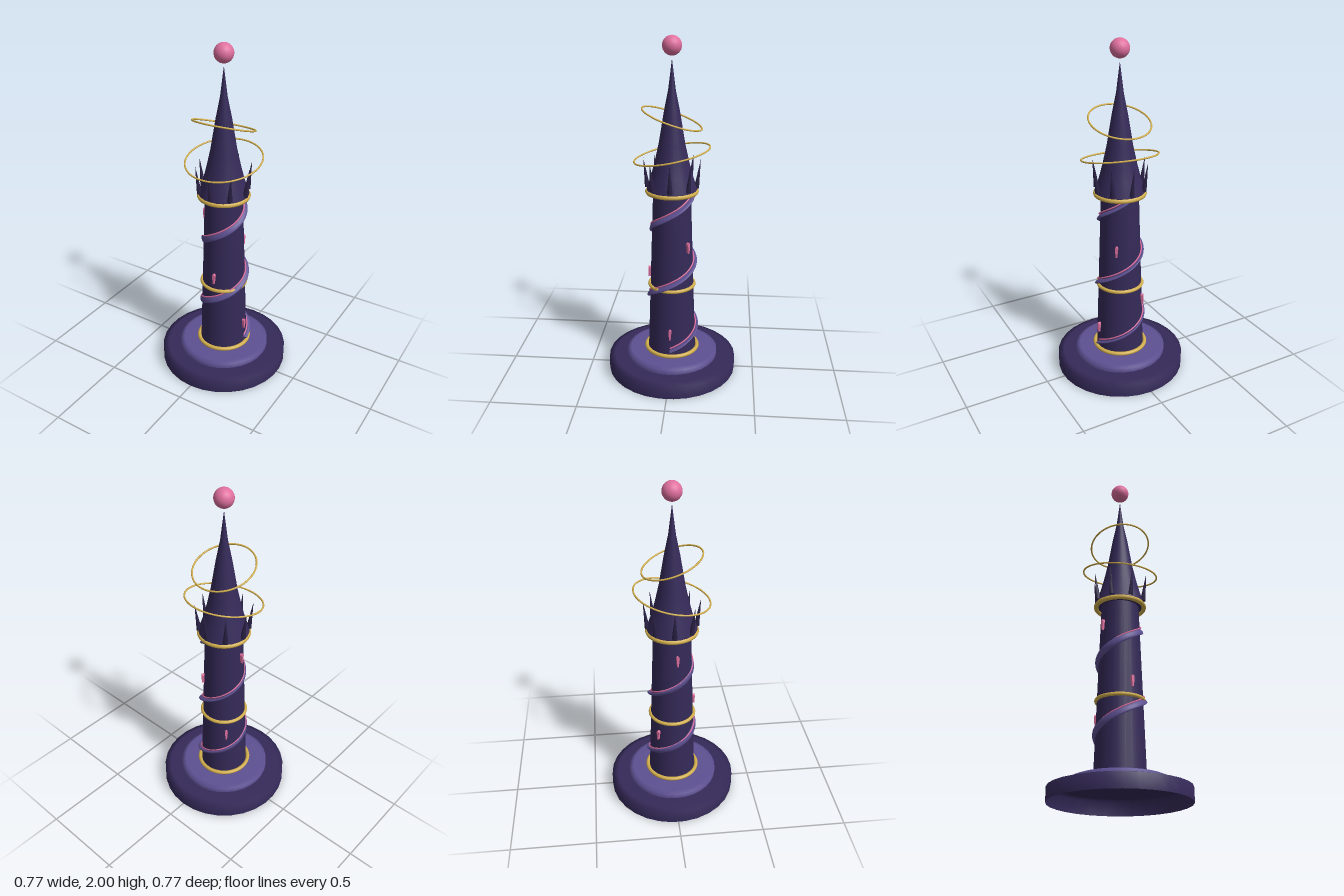
import * as THREE from 'three';

const mat = (name, color, side = THREE.FrontSide) => {
  const m = new THREE.MeshStandardMaterial({ color, side });
  m.name = name;
  return m;
};

export function createModel() {
  const dark = mat('dark purple stone', 0x352a59, THREE.DoubleSide);
  const light = mat('light purple stone', 0x5d5092);
  const spikeMat = mat('deep purple spikes', 0x2a2145);
  const gold = mat('gold', 0xd4b04e);
  const pink = mat('pink glow', 0xe0709f);

  const tower = new THREE.Group();
  tower.name = 'tower';

  const add = (name, geometry, material, parent = tower) => {
    const mesh = new THREE.Mesh(geometry, material);
    mesh.name = name;
    parent.add(mesh);
    return mesh;
  };
  const lathe = (points, sides) =>
    new THREE.LatheGeometry(points.map(([r, y]) => new THREE.Vector2(r, y)), sides);

  // Shaft radius at a given height
  const shaftRadius = (y) => 0.143 - 0.034 * (y - 0.13);

  // Stepped round base, hollow underneath
  add('lowerBase', lathe([[0.386, 0], [0.386, 0.08], [0.35, 0.09], [0, 0.09]], 30), dark);
  add('upperBase', lathe([[0.275, 0.09], [0.275, 0.12], [0.25, 0.13], [0, 0.13]], 32), light);

  // Tapered shaft
  add('shaft', new THREE.CylinderGeometry(shaftRadius(1.13), shaftRadius(0.13), 1, 24, 1, true), dark)
    .position.y = 0.63;

  // Spire flaring out over the top collar, with a floating orb
  add('spire', lathe([[0.105, 1.128], [0.145, 1.135], [0.145, 1.15], [0.119, 1.225], [0.097, 1.31], [0.074, 1.415],
    [0.045, 1.59], [0.021, 1.71], [0.001, 1.87]], 24), dark);
  add('orb', new THREE.SphereGeometry(0.054, 24, 16), pink).position.y = 1.946;

  // Gold collars and tilted floating halos: name, height, radius, tube, tilt
  for (const [name, y, radius, tube, tilt] of [
    ['baseCollar', 0.14, 0.154, 0.012, 0],
    ['middleCollar', 0.555, 0.132, 0.011, 0],
    ['topCollar', 1.133, 0.14, 0.014, 0],
    ['lowerHalo', 1.35, 0.219, 0.005, 0.2],
    ['upperHalo', 1.552, 0.176, 0.005, -0.33],
  ]) {
    const ring = add(name, new THREE.TorusGeometry(radius, tube, 8, 56), gold);
    ring.position.y = y;
    ring.rotation.x = Math.PI / 2 + tilt;
  }

  // Crown of eight spikes leaning outward
  const crown = new THREE.Group();
  crown.name = 'crown';
  tower.add(crown);
  for (let i = 0; i < 8; i++) {
    const arm = new THREE.Group();
    arm.name = 'spikeArm';
    arm.rotation.y = (i * Math.PI) / 4;
    const spike = add('spike', new THREE.ConeGeometry(0.016, 0.17, 6), spikeMat, arm);
    spike.position.set(0.152, 1.24, 0);
    spike.rotation.z = -0.13;
    crown.add(arm);
  }

  // Flat vine that twists as it winds up the shaft, with a thin glowing strand above it
  const helix = (lift, gap) => {
    const points = [];
    for (let i = 0; i <= 72; i++) {
      const t = i / 72, a = t * 2.25 * Math.PI * 2, y = 0.17 + 0.95 * t;
      const r = shaftRadius(y) + gap;
      points.push(new THREE.Vector3(r * Math.cos(a), y + lift, -r * Math.sin(a)));
    }
    return new THREE.CatmullRomCurve3(points);
  };
  const vineSection = new THREE.Shape();
  vineSection.absellipse(0, 0, 0.022, 0.008, 0, Math.PI * 2, false);
  add('vine', new THREE.ExtrudeGeometry(vineSection, {
    steps: 160, curveSegments: 10, bevelEnabled: false, extrudePath: helix(0, 0.004),
  }), light);
  add('glowStrand', new THREE.TubeGeometry(helix(0.02, 0.005), 180, 0.0045, 6), pink);

  // Slim tapering windows spaced around the shaft by the golden angle
  const pane = new THREE.Shape();
  pane.moveTo(-0.004, -0.034);
  pane.lineTo(0.004, -0.034);
  pane.lineTo(0.009, 0.018);
  pane.quadraticCurveTo(0.008, 0.031, 0, 0.032);
  pane.quadraticCurveTo(-0.008, 0.031, -0.009, 0.018);
  pane.closePath();
  const paneGeometry = new THREE.ExtrudeGeometry(pane, { depth: 0.022, bevelEnabled: false, curveSegments: 5 });
  for (let i = 0; i < 5; i++) {
    const a = i * 2.4, y = 0.28 + i * 0.178, r = shaftRadius(y) - 0.008;
    const window = add('window', paneGeometry, pink);
    window.position.set(r * Math.cos(a), y, -r * Math.sin(a));
    window.rotation.y = a + Math.PI / 2;
  }

  return tower;
}
